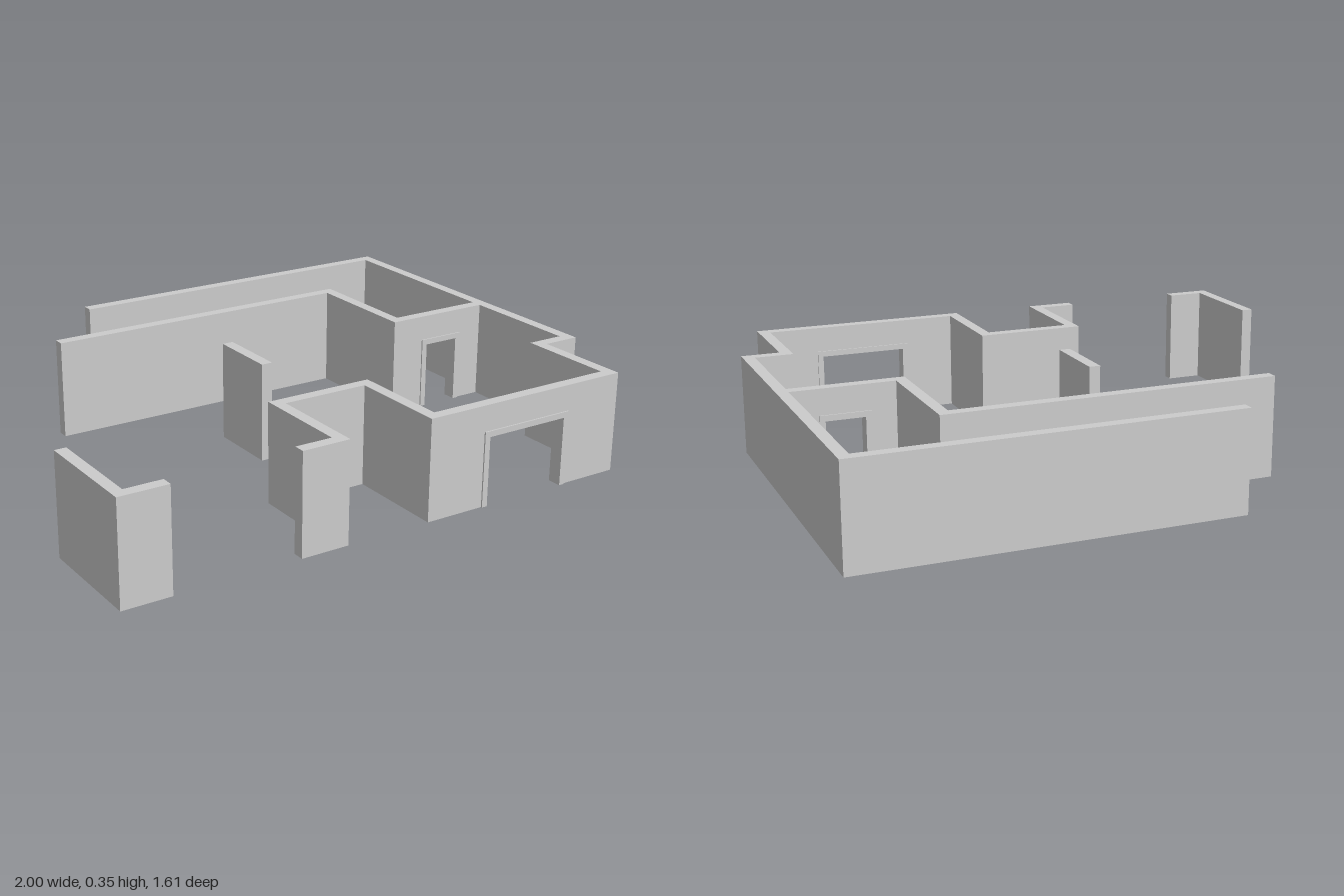
import * as THREE from 'three';

const HEIGHT = 0.35;
const THICK = 0.04;
const DOOR_TOP = 0.24;
const TRIM = 0.02; // width of the door casing
const PROUD = 0.005; // how far the casing stands out of the wall

const material = new THREE.MeshStandardMaterial({ color: 0xcccccc, flatShading: true });

function toShape(points) {
  return new THREE.Shape(points.map(([x, y]) => new THREE.Vector2(x, y)));
}

// Wall that follows a right-angled [x, z] centreline, with mitred corners
function wallRun(name, path) {
  const left = [], right = [];
  const normal = (a, b) => {
    const d = Math.hypot(b[0] - a[0], b[1] - a[1]);
    return [-(b[1] - a[1]) / d, (b[0] - a[0]) / d];
  };
  path.forEach((p, i) => {
    const before = i > 0 ? normal(path[i - 1], p) : [0, 0];
    const after = i < path.length - 1 ? normal(p, path[i + 1]) : [0, 0];
    // perpendicular neighbours: the mitre is the sum of both normals
    const ox = (before[0] + after[0]) * THICK / 2;
    const oz = (before[1] + after[1]) * THICK / 2;
    left.push([p[0] + ox, -(p[1] + oz)]);
    right.unshift([p[0] - ox, -(p[1] - oz)]);
  });
  const geometry = new THREE.ExtrudeGeometry(toShape([...left, ...right]), { depth: HEIGHT, bevelEnabled: false });
  geometry.rotateX(-Math.PI / 2);
  const mesh = new THREE.Mesh(geometry, material);
  mesh.name = name;
  return mesh;
}

// Upright panel from x0 to x1 with a doorway cut up from the floor
function archPanel(name, x0, x1, top, door0, door1, doorTop, depth, z) {
  const shape = toShape([
    [x0, 0], [door0, 0], [door0, doorTop], [door1, doorTop],
    [door1, 0], [x1, 0], [x1, top], [x0, top],
  ]);
  const geometry = new THREE.ExtrudeGeometry(shape, { depth, bevelEnabled: false });
  geometry.translate(0, 0, z - depth / 2);
  const mesh = new THREE.Mesh(geometry, material);
  mesh.name = name;
  return mesh;
}

// Wall panel plus the slightly proud casing around its doorway
function doorWall(name, x0, x1, door0, door1, z) {
  const group = new THREE.Group();
  group.name = name;
  group.add(
    archPanel('doorWallPanel', x0, x1, HEIGHT, door0, door1, DOOR_TOP, THICK, z),
    archPanel('doorCasing', door0 - TRIM, door1 + TRIM, DOOR_TOP + TRIM,
      door0, door1, DOOR_TOP, THICK + 2 * PROUD, z),
  );
  return group;
}

export function createModel() {
  const model = new THREE.Group();
  model.name = 'floorPlanWalls';

  model.add(
    // back wall, long side wall and the stepped front corner
    wallRun('outerWall', [[-0.305, -0.785], [0.98, -0.785], [0.98, 0.43], [0.845, 0.43], [0.845, 0.8]]),
    // recessed alcove in the front
    wallRun('alcoveWall', [[0.105, 0.8], [0.105, 0.427], [-0.24, 0.427], [-0.24, 0.78], [-0.39, 0.78]]),
    // corridor wall parallel to the back
    wallRun('corridorWall', [[-0.565, -0.485], [0.583, -0.485], [0.583, -0.03]]),
    // free-standing corner at the far side
    wallRun('cornerWall', [[-0.98, 0.405], [-0.98, 0.78], [-0.83, 0.78]]),
    // short divider in the middle of the room
    wallRun('dividerWall', [[-0.07, -0.157], [-0.07, 0.1]]),
    // walls with doorways
    doorWall('frontDoorWall', 0.125, 0.825, 0.32, 0.63, 0.78),
    doorWall('innerDoorWall', 0.603, 0.96, 0.71, 0.845, -0.05),
  );

  return model;
}
